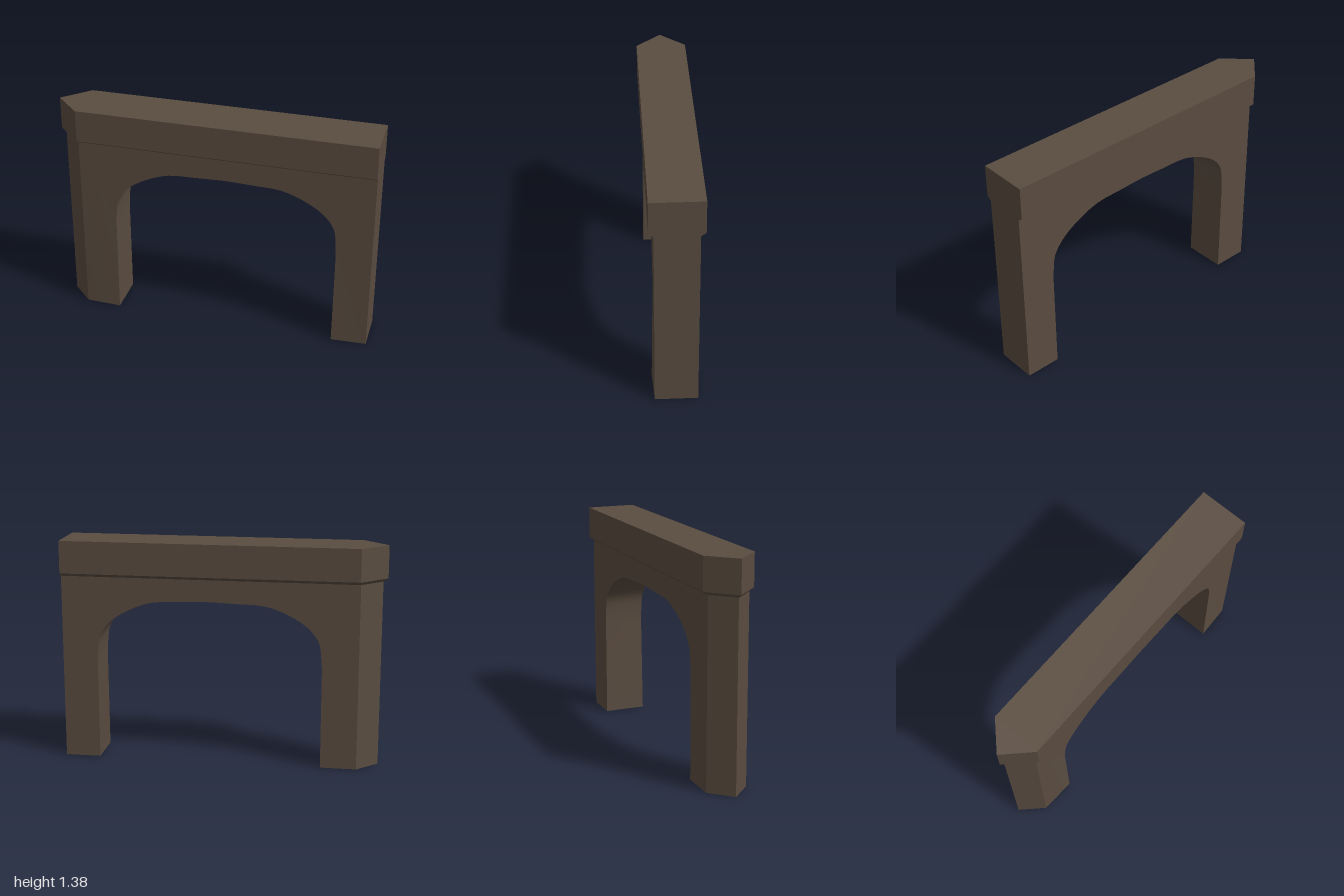
import * as THREE from 'three';
import { toCreasedNormals } from 'three/addons/utils/BufferGeometryUtils.js';

const CORNER = -0.843; // where the pointed end begins
const BODY = 0.128;    // half depth of the wall
const CAP = 0.157;     // half depth of the coping
const SPRING = 1.163;  // underside of the coping

// Closed solid through matching plan outlines, listed from bottom to top
function loft(rings) {
  const pos = [];
  const n = rings[0].pts.length;
  const at = (r, i) => {
    const [x, z] = rings[r].pts[i % n];
    return [x, rings[r].y, z];
  };
  const tri = (a, b, c) => pos.push(...a, ...b, ...c);
  for (let r = 0; r < rings.length - 1; r++) {
    for (let i = 0; i < n; i++) {
      tri(at(r, i), at(r, i + 1), at(r + 1, i + 1));
      tri(at(r, i), at(r + 1, i + 1), at(r + 1, i));
    }
  }
  const top = rings.length - 1;
  for (let i = 1; i < n - 1; i++) {
    tri(at(top, 0), at(top, i), at(top, i + 1));
    tri(at(0, 0), at(0, i + 1), at(0, i));
  }
  const g = new THREE.BufferGeometry();
  g.setAttribute('position', new THREE.Float32BufferAttribute(pos, 3));
  g.computeVertexNormals();
  return g;
}

// Plan of the bar: square at +x, 45 degree point at -x
const plan = (h) => [[CORNER, h], [1, h], [1, -h], [CORNER, -h], [CORNER - h, 0]];

function archWall() {
  const mid = 0.08;
  // Half of the opening as offsets from its middle
  const half = [[0.70, 0.62], [0.695, 0.70], [0.678, 0.80], [0.61, 0.888],
    [0.49, 0.963], [0.35, 1.012], [0.18, 1.021], [0, 1.027]];
  const pts = [
    ...half.map(([x, y]) => new THREE.Vector3(mid - x, y, 0)),
    ...half.slice(0, -1).reverse().map(([x, y]) => new THREE.Vector3(mid + x, y, 0)),
  ];
  const curve = new THREE.CatmullRomCurve3(pts, false, 'centripetal').getPoints(42);

  const s = new THREE.Shape();
  s.moveTo(CORNER, 0);
  s.lineTo(mid - 0.70, 0);
  curve.forEach((p) => s.lineTo(p.x, p.y));
  s.lineTo(mid + 0.70, 0);
  s.lineTo(1, 0);
  s.lineTo(1, SPRING);
  s.lineTo(CORNER, SPRING);
  s.closePath();

  const g = new THREE.ExtrudeGeometry(s, { depth: 2 * BODY, bevelEnabled: false });
  g.translate(0, 0, -BODY);
  // Inner feet flare slightly to the front
  const p = g.attributes.position;
  for (let i = 0; i < p.count; i++) {
    if (p.getY(i) < 0.001 && p.getZ(i) > 0 && Math.abs(p.getX(i) - mid) < 0.71) p.setZ(i, 0.137);
  }
  return toCreasedNormals(g, 0.5);
}

export function createModel() {
  const group = new THREE.Group();
  group.name = 'archway';
  const stone = new THREE.MeshStandardMaterial({ color: 0x5a4c40 });
  stone.name = 'brown stone';

  const add = (name, geometry) => {
    const m = new THREE.Mesh(geometry, stone);
    m.name = name;
    group.add(m);
  };

  // Wall with the arched opening
  add('archWall', archWall());

  // Pointed end of the outer leg
  const nose = [[CORNER, BODY], [CORNER, -BODY], [CORNER - BODY, 0]];
  add('pointedEnd', loft([{ y: 0, pts: nose }, { y: SPRING, pts: nose }]));

  // Coping with a chamfered underside
  add('coping', loft([
    { y: SPRING, pts: plan(BODY) },
    { y: 1.183, pts: plan(CAP) },
    { y: 1.385, pts: plan(CAP) },
  ]));

  return group;
}
